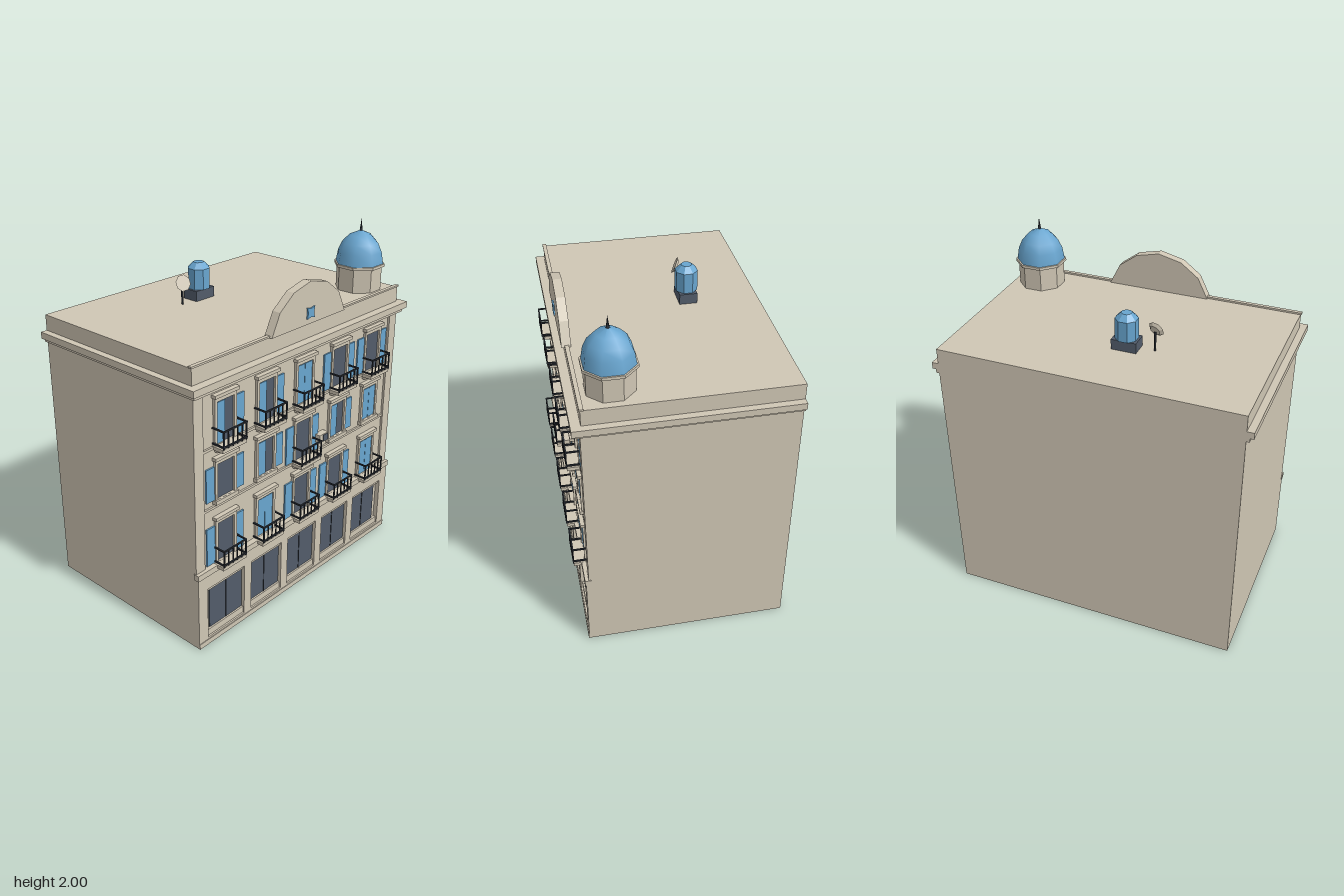
import * as THREE from 'three';

const material = (name, color) => {
  const m = new THREE.MeshStandardMaterial({ color });
  m.name = name;
  return m;
};

export function createModel() {
  const stone = material('cream stone', 0xcfc6b4);
  const blue = material('blue paint', 0x68a5cf);
  const glass = material('dark glass', 0x525c6a);
  const iron = material('black iron', 0x2a2f36);
  const model = new THREE.Group();
  model.name = 'townhouse';
  const WALL = 0.505, BACK = -0.585;

  const add = (parent, name, geometry, mat, x = 0, y = 0, z = 0) => {
    const mesh = new THREE.Mesh(geometry, mat);
    mesh.name = name;
    mesh.position.set(x, y, z);
    parent.add(mesh);
    return mesh;
  };
  // Box given by its lower and upper limits on each axis
  const block = (parent, name, mat, x0, x1, y0, y1, z0, z1) =>
    add(parent, name, new THREE.BoxGeometry(x1 - x0, y1 - y0, z1 - z0), mat,
      (x0 + x1) / 2, (y0 + y1) / 2, (z0 + z1) / 2);
  const group = (name, x = 0, y = 0, z = 0) => {
    const g = new THREE.Group();
    g.name = name;
    g.position.set(x, y, z);
    model.add(g);
    return g;
  };
  const shapeOf = pts => new THREE.Shape(pts.map(p => new THREE.Vector2(...p)));
  const rect = (x0, x1, y0, y1) => [[x0, y0], [x1, y0], [x1, y1], [x0, y1]];
  const extrude = (shape, depth) => new THREE.ExtrudeGeometry(shape, { depth, bevelEnabled: false });
  // Faceted prism with a flat side to the front
  const prism = (rTop, rBottom, h, sides = 8) => {
    const g = new THREE.CylinderGeometry(rTop, rBottom, h, sides).rotateY(Math.PI / sides).toNonIndexed();
    g.computeVertexNormals();
    return g;
  };

  // Main walls, cornice and parapet
  block(model, 'mainWalls', stone, -0.84, 0.84, 0, 1.6, BACK, WALL);
  block(model, 'lowerCornice', stone, -0.858, 0.858, 1.453, 1.475, BACK, 0.545);
  block(model, 'upperCornice', stone, -0.878, 0.878, 1.475, 1.512, BACK, 0.562);
  block(model, 'parapetFace', stone, -0.84, 0.84, 1.512, 1.6, WALL, 0.512);
  block(model, 'parapetCap', stone, -0.845, 0.845, 1.6, 1.61, 0.495, 0.517);
  block(model, 'firstFloorBelt', stone, -0.845, 0.845, 0.433, 0.467, WALL, 0.538);
  for (const y of [0.795, 1.132]) {
    block(model, 'beltCourse', stone, -0.775, 0.775, y, y + 0.014, WALL, 0.516);
  }
  for (const s of [-1, 1]) {
    block(model, 'cornerPilaster', stone, s * 0.8075 - 0.0325, s * 0.8075 + 0.0325, 0.467, 1.453, WALL, 0.518);
  }

  // Shopfront with five recessed bays
  const columns = [-0.617, -0.3085, 0, 0.3085, 0.617];
  const front = shapeOf(rect(-0.84, 0.84, 0, 0.433));
  columns.forEach((x, i) => {
    const x0 = x - 0.126 - (i === 0 ? 0.03 : 0);
    const x1 = x + 0.126 + (i === 4 ? 0.03 : 0);
    front.holes.push(new THREE.Path(rect(x0, x1, 0.042, 0.35).map(p => new THREE.Vector2(...p))));
    block(model, 'shopSill', stone, x0, x1, 0.042, 0.08, WALL, 0.522);
    block(model, 'shopLintel', stone, x0, x1, 0.33, 0.35, WALL, 0.522);
    block(model, 'shopGlass', glass, x - 0.125, x + 0.125, 0.08, 0.33, WALL, 0.512);
    block(model, 'shopMullion', iron, x - 0.002, x + 0.002, 0.08, 0.33, 0.512, 0.515);
  });
  add(model, 'shopfrontWall', extrude(front, 0.027), stone, 0, 0, WALL);
  block(model, 'plinth', stone, -0.84, 0.84, 0, 0.03, WALL, 0.536);

  // Iron balcony: slab, sloped bracket and railing
  const bracketShape = shapeOf([[0, 0], [0.02, 0], [0.058, 0.022], [0, 0.022]]);
  const addBalcony = (x, y) => {
    const g = group('balcony', x, y, 0);
    block(g, 'balconySlab', stone, -0.087, 0.087, -0.02, 0, WALL, 0.58);
    const b = add(g, 'balconyBracket', extrude(bracketShape, 0.136), stone, 0.068, -0.042, WALL);
    b.rotation.y = -Math.PI / 2;
    for (const h of [0.012, 0.096]) {
      block(g, 'frontRail', iron, -0.086, 0.086, h - 0.004, h + 0.004, 0.577, 0.585);
      for (const s of [-0.082, 0.082]) {
        block(g, 'sideRail', iron, s - 0.004, s + 0.004, h - 0.004, h + 0.004, WALL, 0.578);
      }
    }
    for (let i = 0; i < 6; i++) {
      const bx = -0.082 + i * 0.0328;
      const w = i % 5 ? 0.0025 : 0.004;
      block(g, 'railBar', iron, bx - w, bx + w, 0, 0.096, 0.578, 0.584);
    }
  };
  // Window with surround; 'open' dark glass, 'half' left leaf closed, 'shut' both closed
  const addWindow = (x, y0, y1, state, balcony) => {
    const g = group('window', x);
    const surround = shapeOf(rect(-0.078, 0.078, y0, y1 + 0.024));
    surround.holes.push(new THREE.Path(rect(-0.061, 0.061, y0 + 0.001, y1).map(p => new THREE.Vector2(...p))));
    add(g, 'windowSurround', extrude(surround, 0.015), stone, 0, 0, WALL);
    block(g, 'windowHead', stone, -0.087, 0.087, y1 + 0.024, y1 + 0.042, WALL, 0.532);
    block(g, 'windowGlass', glass, -0.061, 0.061, y0, y1, WALL, 0.508);
    const leaf = (name, x0, x1, top) => block(g, name, blue, x0, x1, y0 + 0.003, top, WALL, 0.514);
    if (state !== 'open') leaf('closedShutter', -0.061, -0.001, y1 - 0.007);
    if (state === 'shut') leaf('closedShutter', 0.001, 0.061, y1 - 0.007);
    if (state !== 'shut') leaf('openShutter', 0.079, 0.138, y1 - 0.01);
    if (state === 'open') leaf('openShutter', -0.138, -0.079, y1 - 0.01);
    if (balcony) addBalcony(x, y0);
    else block(g, 'windowSill', stone, -0.085, 0.085, y0 - 0.022, y0, WALL, 0.53);
  };
  const O = 'open', H = 'half', S = 'shut';
  const floors = [
    { y0: 0.468, y1: 0.7, states: [O, S, O, O, S], balconies: [0, 1, 2, 3, 4] },
    { y0: 0.84, y1: 1.042, states: [O, H, O, H, S], balconies: [2] },
    { y0: 1.15, y1: 1.38, states: [H, H, S, O, O], balconies: [0, 1, 2, 3, 4] },
  ];
  floors.forEach(f => columns.forEach((x, i) => {
    const balcony = f.balconies.includes(i);
    const y0 = balcony && f.balconies.length === 1 ? 0.81 : f.y0;
    addWindow(x, y0, f.y1, f.states[i], balcony);
  }));

  // Wall-mounted cooling unit
  block(model, 'coolingUnit', stone, 0.115, 0.19, 0.864, 0.912, WALL, 0.545);
  block(model, 'coolingGrille', glass, 0.145, 0.186, 0.869, 0.907, 0.545, 0.548);

  // Arched pediment with a four-pointed ornament
  const arch = [[0.3, 1.6], [0.24, 1.72], [0.135, 1.798]];
  const archPts = [...arch, [0, 1.83], ...arch.map(([x, y]) => [-x, y]).reverse()];
  add(model, 'pediment', extrude(shapeOf(archPts), 0.05), stone, 0, 0, 0.484);
  const star = [];
  for (let i = 0; i < 8; i++) {
    const a = Math.PI / 4 * (i + 1), r = i % 2 ? 0.024 : 0.043;
    star.push([r * Math.cos(a), r * Math.sin(a)]);
  }
  add(model, 'pedimentOrnament', extrude(shapeOf(star), 0.008), blue, 0, 1.662, 0.534);

  // Corner turret with dome and spire
  const turret = group('turret', 0.68, 1.6, 0.347);
  add(turret, 'turretDrum', prism(0.131, 0.131, 0.14), stone, 0, 0.07, 0);
  add(turret, 'turretCollar', prism(0.146, 0.146, 0.016), stone, 0, 0.143, 0);
  const domeProfile = [[0.137, 0], [0.126, 0.065], [0.103, 0.115], [0.062, 0.158], [0.001, 0.185]];
  const dome = new THREE.LatheGeometry(domeProfile.map(p => new THREE.Vector2(...p)), 8, Math.PI / 8);
  add(turret, 'turretDome', dome, blue, 0, 0.151, 0);
  add(turret, 'turretSpire', new THREE.ConeGeometry(0.01, 0.075, 6), iron, 0, 0.3625, 0);

  // Rooftop water tank
  const tank = group('waterTank', -0.075, 1.6, -0.195);
  block(tank, 'tankBase', glass, -0.07, 0.07, 0, 0.058, -0.049, 0.049);
  add(tank, 'tankBody', prism(0.063, 0.063, 0.115), blue, 0, 0.1155, 0);
  add(tank, 'tankLid', prism(0.03, 0.063, 0.032), blue, 0, 0.189, 0);

  // Satellite dish on a pole
  const dish = group('satelliteDish', -0.225, 1.6, -0.175);
  add(dish, 'dishPole', new THREE.CylinderGeometry(0.006, 0.006, 0.11, 6), iron, 0, 0.055, 0);
  const plate = add(dish, 'dishPlate', prism(0.046, 0.03, 0.014), stone, 0, 0.12, 0.005);
  plate.rotation.set(1.2, 0, 0.25);
  return model;
}
